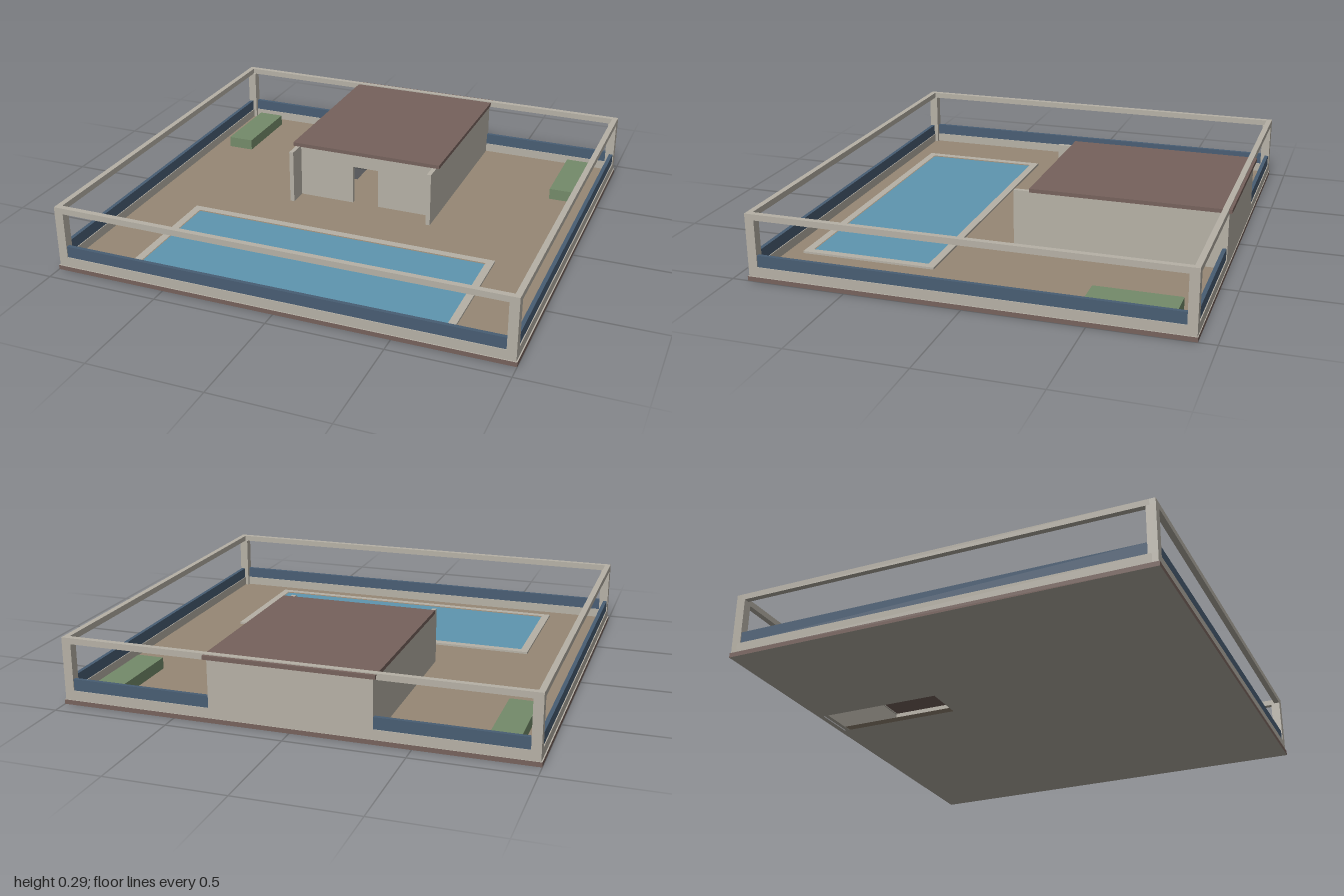
import * as THREE from 'three';

const paint = (name, color) => {
  const m = new THREE.MeshStandardMaterial({ color });
  m.name = name;
  return m;
};

export function createModel() {
  const model = new THREE.Group();
  model.name = 'rooftopTerrace';
  const plaster = paint('plaster', 0xb6b1a6);
  const deckTan = paint('deckTan', 0x978875);
  const brown = paint('roofBrown', 0x76625c);
  const blue = paint('waterBlue', 0x5e96b0);
  const green = paint('hedgeGreen', 0x748b6a);
  const navy = paint('railNavy', 0x485d73);

  // box given by its limits on each axis
  const box = (name, mat, [x0, x1], [y0, y1], [z0, z1], parent = model) => {
    const mesh = new THREE.Mesh(new THREE.BoxGeometry(x1 - x0, y1 - y0, z1 - z0), mat);
    mesh.position.set((x0 + x1) / 2, (y0 + y1) / 2, (z0 + z1) / 2);
    mesh.name = name;
    parent.add(mesh);
    return mesh;
  };

  // flat slab with rectangular holes, rectangles as [x0, x1, z0, z1]
  const trace = (path, [x0, x1, z0, z1]) => {
    path.moveTo(x0, -z0);
    path.lineTo(x1, -z0);
    path.lineTo(x1, -z1);
    path.lineTo(x0, -z1);
    path.closePath();
    return path;
  };
  const slab = (name, mat, outer, holes, y0, y1) => {
    const shape = trace(new THREE.Shape(), outer);
    holes.forEach((h) => shape.holes.push(trace(new THREE.Path(), h)));
    const geo = new THREE.ExtrudeGeometry(shape, { depth: y1 - y0, bevelEnabled: false });
    geo.rotateX(-Math.PI / 2);
    const mesh = new THREE.Mesh(geo, mat);
    mesh.position.y = y0;
    mesh.name = name;
    model.add(mesh);
  };

  // floor slab and deck, both pierced by the stairwell
  const stairwell = [-0.325, -0.14, -0.9, -0.33];
  slab('floorSlab', [plaster, brown], [-1, 1, -0.925, 0.93], [stairwell], 0, 0.02);
  slab('deck', deckTan, [-0.975, 0.975, -0.9, 0.905], [stairwell], 0.02, 0.022);

  // perimeter: curb, navy panel and top beam on each side, posts at the corners
  const X = 0.995, Zf = 0.925, Zb = -0.922, T = 0.025;
  const layers = [
    ['curb', plaster, [0.02, 0.062], 0],
    ['railPanel', navy, [0.062, 0.112], 0.004],
    ['topBeam', plaster, [0.266, 0.292], 0],
  ];
  for (const [name, mat, y, inset] of layers) {
    for (const s of [-1, 1]) {
      const a = s * (X - inset), b = s * (X - T + inset);
      box(name + 'Side', mat, [Math.min(a, b), Math.max(a, b)], y, [Zb + T, Zf - T]);
    }
    box(name + 'Front', mat, [-X, X].map((v) => v * (1 - inset)), y, [Zf - T + inset, Zf - inset]);
    if (name === 'topBeam') {
      box(name + 'Back', mat, [-X, X], y, [Zb, Zb + T]);
    } else {
      for (const s of [-1, 1]) {
        const a = s * 0.345, b = s * (X - inset);
        box(name + 'Back', mat, [Math.min(a, b), Math.max(a, b)], y, [Zb + inset, Zb + T - inset]);
      }
    }
  }
  for (const x of [[-X, -0.955], [0.955, X]]) {
    for (const z of [[Zb, Zb + 0.04], [Zf - 0.04, Zf]]) box('cornerPost', plaster, x, [0.02, 0.267], z);
  }

  // pool
  slab('poolRim', plaster, [-0.72, 0.715, 0.23, 0.828], [[-0.685, 0.682, 0.265, 0.795]], 0.02, 0.031);
  box('poolWater', blue, [-0.685, 0.682], [0.02, 0.026], [0.265, 0.795]);

  // hedges
  for (const s of [-1, 1]) {
    const x = [s * 0.78, s * 0.902].sort((a, b) => a - b);
    box('hedge', green, x, [0.02, 0.073], [-0.83, -0.465]);
  }

  // pavilion: side walls run forward as fins, front wall has a doorway
  const house = new THREE.Group();
  house.name = 'pavilion';
  model.add(house);
  const H = [0.02, 0.271];
  for (const x of [[-0.345, -0.325], [0.325, 0.345]]) box('sideWall', plaster, x, H, [Zb, 0.005], house);
  box('backWall', plaster, [-0.325, 0.325], H, [Zb, Zb + 0.02], house);
  const F = [-0.105, -0.085];
  box('frontWallRight', plaster, [-0.325, -0.065], H, F, house);
  box('frontWallLeft', plaster, [0.06, 0.325], H, F, house);
  box('doorLintel', plaster, [-0.065, 0.06], [0.205, 0.271], F, house);
  box('roof', brown, [-0.358, 0.358], [0.271, 0.288], [-0.935, -0.07], house);

  return model;
}
